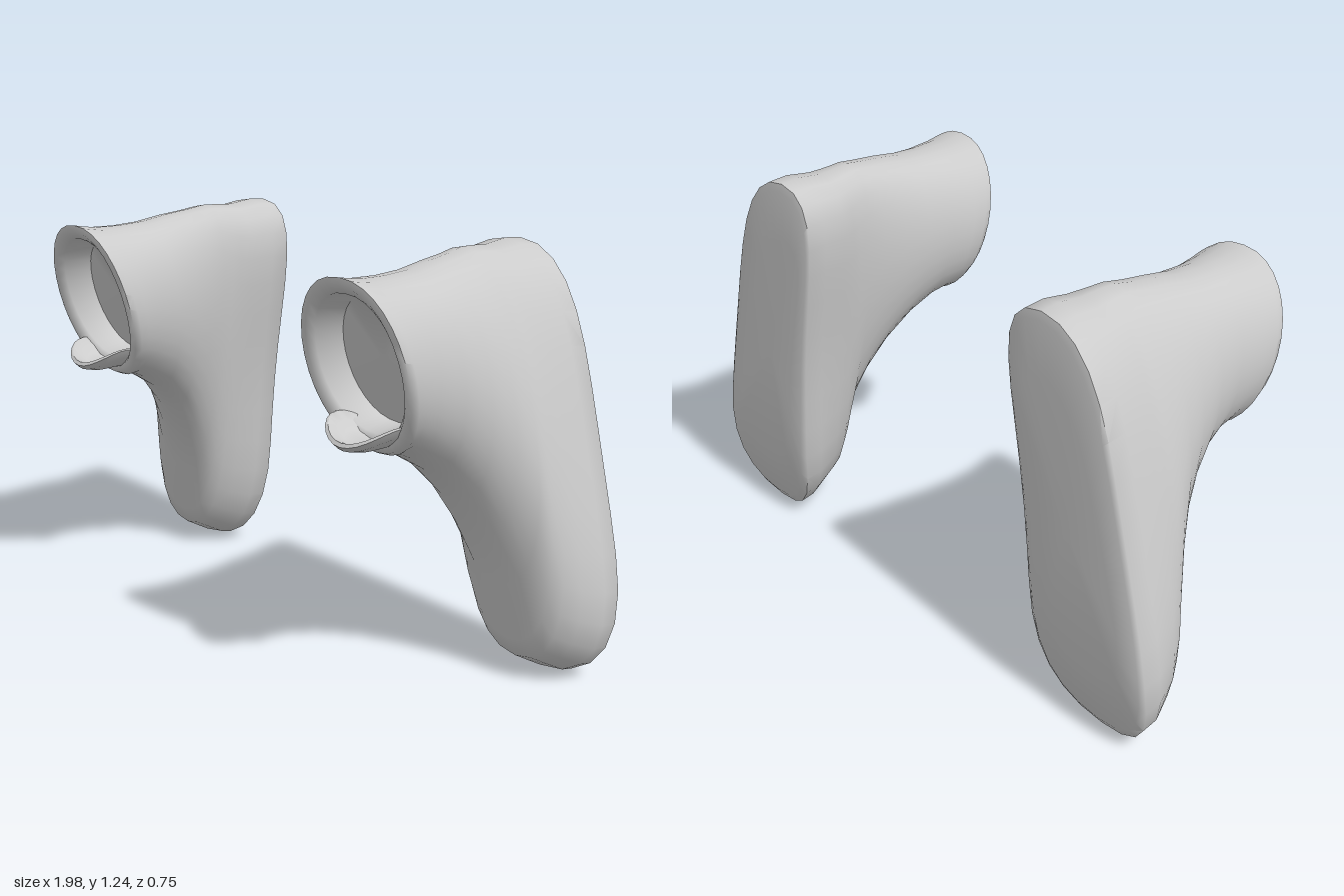
import * as THREE from 'three';
import { toCreasedNormals } from 'three/addons/utils/BufferGeometryUtils.js';

const SEG = 32;
const clamp01 = (t) => Math.min(1, Math.max(0, t));

// Loops from sole to rim, then down into the opening:
// [z at toe, y at toe, z at heel, y at heel, outward lean of toe, foot flare, width scale]
const LOOPS = [
  [-0.376, 0.2, -0.37, 1.05, 0.9, 1, 0.63],
  [-0.372, 0.03, -0.367, 1.21, 1, 1, 0.92],
  [-0.36, 0, -0.362, 1.235, 1, 1],
  [-0.3, 0.01, -0.3, 1.24, 1, 1],
  [-0.22, 0.04, -0.22, 1.23, 0.98, 0.73],
  [-0.17, 0.065, -0.18, 1.232, 0.93, 0.46],
  [-0.147, 0.12, -0.15, 1.234, 0.87, 0.25],
  [-0.122, 0.29, -0.11, 1.235, 0.73, 0.12],
  [-0.07, 0.43, -0.05, 1.225, 0.5, 0.02],
  [-0.01, 0.545, 0.03, 1.215, 0.3, 0],
  [0.07, 0.64, 0.12, 1.2, 0.13, 0],
  [0.15, 0.69, 0.21, 1.195, 0.05, 0],
  [0.2, 0.715, 0.3, 1.197, 0, 0, 1.11],
  [0.222, 0.712, 0.35, 1.205, 0, 0, 1.15],
  [0.24, 0.72, 0.378, 1.21, 0, 0, 1.12],
  [0.25, 0.745, 0.378, 1.19, 0, 0, 1],
  [0.235, 0.77, 0.355, 1.165, 0, 0, 0.9],
  [0.15, 0.785, 0.26, 1.15, 0, 0, 0.84],
];

function loopPoint([z0, y0, z1, y1, lean, flare, scale = 1], a) {
  const v = (1 - Math.cos(a)) / 2; // 0 at toe, 1 at heel
  // half width: a parabola through its toe, middle and heel values
  const toe = 0.178 + 0.182 * flare;
  const middle = 0.178 + 0.022 * flare;
  const heel = 0.178 + 0.102 * flare;
  const w = scale * (toe * (1 - v) * (1 - 2 * v) + middle * 4 * v * (1 - v) + heel * v * (2 * v - 1));
  const c = 0.605 + lean * (0.185 - 0.22 * Math.pow(v, 1.5));
  const s = Math.sin(a);
  const y = y0 + (y1 - y0) * v;
  // the sole curls up towards the toe tip
  const curl = 0.05 * clamp01((-0.2 - z0) / 0.15) * clamp01(1 - y / 0.35) ** 2;
  return [
    c + w * Math.sign(s) * Math.pow(Math.abs(s), 0.9),
    y,
    z0 + (z1 - z0) * Math.pow(v, 0.85) + curl,
  ];
}

// Skin over the loops, closed at the sole and at the floor of the opening
function shellGeometry() {
  const pos = [];
  const index = [];
  for (const loop of LOOPS) {
    for (let j = 0; j < SEG; j++) pos.push(...loopPoint(loop, (j / SEG) * Math.PI * 2));
  }
  const n = LOOPS.length;
  for (let i = 0; i < n - 1; i++) {
    for (let j = 0; j < SEG; j++) {
      const k = (j + 1) % SEG;
      const a = i * SEG + j, b = i * SEG + k;
      index.push(a, b, b + SEG, a, b + SEG, a + SEG);
    }
  }
  const sole = n * SEG, floor = sole + 1, last = (n - 1) * SEG;
  pos.push(0.69, 0.63, -0.376, 0.605, 0.968, 0.207);
  for (let j = 0; j < SEG; j++) {
    const k = (j + 1) % SEG;
    index.push(sole, k, j, floor, last + j, last + k);
  }
  const g = new THREE.BufferGeometry();
  g.setAttribute('position', new THREE.Float32BufferAttribute(pos, 3));
  g.setIndex(index);
  return g;
}

// Dished oval flap, its sides bent upwards
function tongueGeometry() {
  const profile = [
    [0, -0.02], [0.5, -0.018], [0.85, -0.01], [1, 0.004],
    [0.93, 0.014], [0.75, 0.008], [0.55, -0.002], [0, -0.006],
  ].map(([r, y]) => new THREE.Vector2(r, y));
  const g = new THREE.LatheGeometry(profile, 28);
  const p = g.attributes.position;
  for (let i = 0; i < p.count; i++) {
    const x = p.getX(i) * 0.125;
    p.setXYZ(i, 0.613 + x, 0.757 + p.getY(i) + 3.6 * x * x, 0.275 + p.getZ(i) * 0.103);
  }
  return g;
}

// Mirror in x and turn the faces round again
function mirrored(g) {
  g.scale(-1, 1, 1);
  const ix = g.index.array;
  for (let i = 0; i < ix.length; i += 3) [ix[i], ix[i + 1]] = [ix[i + 1], ix[i]];
  return g;
}

export function createModel() {
  const model = new THREE.Group();
  model.name = 'boots';
  const material = new THREE.MeshStandardMaterial({ color: 0xcccccc, side: THREE.DoubleSide });

  for (const side of ['left', 'right']) {
    const boot = new THREE.Group();
    boot.name = side + 'Boot';
    const parts = { Shell: shellGeometry(), Tongue: tongueGeometry() };
    for (const [part, geometry] of Object.entries(parts)) {
      const g = side === 'right' ? mirrored(geometry) : geometry;
      const mesh = new THREE.Mesh(toCreasedNormals(g, 1.2), material);
      mesh.name = side + part;
      boot.add(mesh);
    }
    model.add(boot);
  }
  return model;
}
